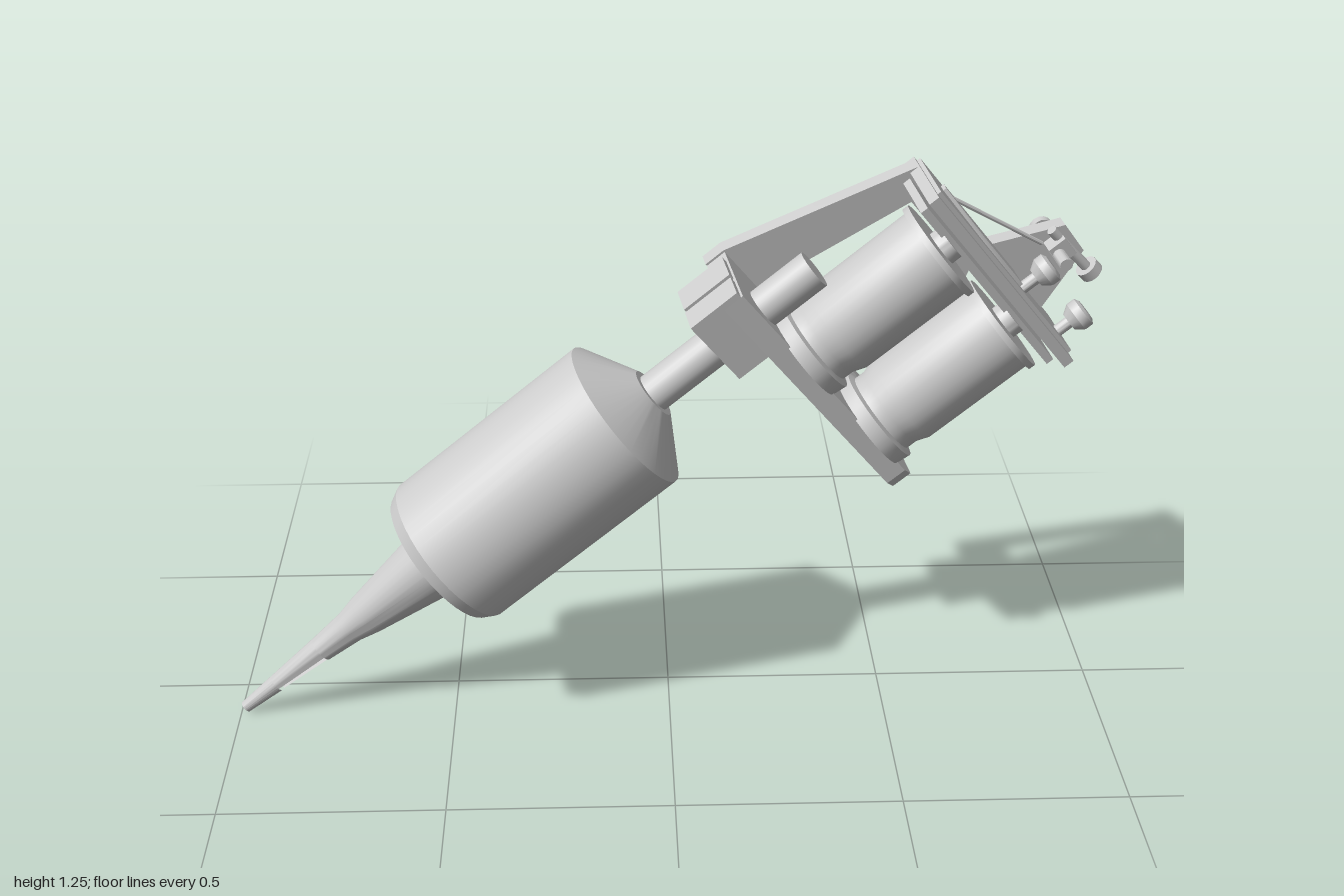
import * as THREE from 'three';
import { toCreasedNormals } from 'three/addons/utils/BufferGeometryUtils.js';

// Local frame: x = u along the tube axis, y = -t (t runs down the frame), z = s towards the front.
const grey = new THREE.MeshStandardMaterial({ color: 0xcccccc });
const greyThin = new THREE.MeshStandardMaterial({ color: 0xcccccc, side: THREE.DoubleSide });

export function createModel() {
  const model = new THREE.Group();
  const machine = new THREE.Group();
  machine.name = 'machine';
  model.add(machine);

  function add(name, geometry, material = grey) {
    const mesh = new THREE.Mesh(toCreasedNormals(geometry, 0.45), material);
    mesh.name = name;
    machine.add(mesh);
    return mesh;
  }

  // Turned part along u; profile is [radius, u] pairs
  function turned(name, profile, t = 0, s = 0, segments = 32) {
    const g = new THREE.LatheGeometry(profile.map(p => new THREE.Vector2(p[0], p[1])), segments);
    return add(name, g.rotateZ(-Math.PI / 2).translate(0, -t, s));
  }

  // Flat slab across the axis; outline is [s, t] pairs, thickness from u0 to u1
  function slab(name, outline, u0, u1) {
    const shape = new THREE.Shape(outline.map(([s, t]) => new THREE.Vector2(-s, -t)));
    const g = new THREE.ExtrudeGeometry(shape, { depth: u1 - u0, bevelEnabled: false });
    return add(name, g.rotateY(Math.PI / 2).translate(u0, 0, 0));
  }

  // Round rod between two [u, t, s] points
  function rod(name, a, b, radius, segments = 14) {
    const p = new THREE.Vector3(a[0], -a[1], a[2]);
    const dir = new THREE.Vector3(b[0], -b[1], b[2]).sub(p);
    const g = new THREE.CylinderGeometry(radius, radius, dir.length(), segments);
    g.translate(0, dir.length() / 2, 0);
    g.applyQuaternion(new THREE.Quaternion().setFromUnitVectors(new THREE.Vector3(0, 1, 0), dir.normalize()));
    return add(name, g.translate(p.x, p.y, p.z));
  }

  // Needle tip with a cut-out slot
  turned('tipEnd', [[0.009, 0.1], [0.008, 0], [0.014, 0], [0.021, 0.1]], 0, 0, 24);
  const slotted = new THREE.LatheGeometry(
    [new THREE.Vector2(0.021, 0.1), new THREE.Vector2(0.031, 0.24)], 24, Math.PI / 4 + 0.6, Math.PI * 2 - 1.2);
  add('tipSlot', slotted.rotateZ(-Math.PI / 2), greyThin);
  turned('tipCone', [[0, 0.24], [0.031, 0.24], [0.039, 0.33], [0.05, 0.38], [0.088, 0.62]]);

  // Grip and tube
  turned('grip', [[0, 0.61], [0.17, 0.61], [0.185, 0.64], [0.185, 1.153], [0.06, 1.232], [0, 1.232]], 0, 0, 40);
  turned('tube', [[0, 1.2], [0.045, 1.2], [0.045, 1.68], [0, 1.68]], 0, 0, 24);

  // Split clamp holding the tube, and base plate under the coils
  slab('tubeClamp', [[-0.085, -0.115], [-0.006, -0.115], [-0.006, -0.04], [0.006, -0.04], [0.006, -0.115],
    [0.075, -0.115], [0.075, 0.06], [-0.085, 0.06]], 1.41, 1.535);
  slab('basePlate', [[-0.157, -0.1], [0.075, -0.1], [0.08, 0.52], [0.055, 0.555], [-0.05, 0.555],
    [-0.06, 0.54], [-0.157, 0.55]], 1.49, 1.54);

  // Side frame with window and a fin carrying the contact screw
  const P = (u, t) => new THREE.Vector2(u, -t);
  const frame = new THREE.Shape([P(1.49, -0.105), P(1.54, -0.105), P(1.98, 0.03), P(1.985, 0.3), P(2.15, 0.385),
    P(2.147, 0.47), P(1.96, 0.54), P(1.93, 0.5), P(1.93, 0.32), P(1.54, 0.55), P(1.49, 0.55)]);
  frame.holes.push(new THREE.Path([P(1.57, 0.03), P(1.57, 0.42), P(1.92, 0.22), P(1.92, 0.09)]));
  add('sideFrame', new THREE.ExtrudeGeometry(frame, { depth: 0.037, bevelEnabled: false }).translate(0, 0, -0.16));

  // Two coils with flanges
  for (const t of [0.155, 0.41]) {
    turned('coil', [[0, 1.535], [0.112, 1.535], [0.115, 1.57], [0.098, 1.575], [0.098, 1.6], [0.108, 1.63],
      [0.108, 1.9], [0.118, 1.9], [0.118, 1.915], [0.04, 1.915], [0.04, 1.94], [0, 1.94]], t);
  }

  // Armature bar in two layers, leaf spring and contact wire
  slab('armatureUnderlay', [[-0.15, 0.04], [0.02, 0.04], [0.02, 0.56], [-0.15, 0.56]], 1.932, 1.95);
  slab('armatureBar', [[-0.17, 0.03], [0.03, 0.03], [0.03, 0.59], [-0.17, 0.59]], 1.958, 1.983);
  slab('armatureRidge', [[-0.165, 0.04], [0, 0.04], [0, 0.585], [-0.165, 0.585]], 1.983, 1.992);
  slab('leafSpring', [[-0.1, 0.09], [-0.08, 0.09], [-0.035, 0.22], [-0.03, 0.38], [-0.1, 0.38]], 1.992, 2.0);
  rod('springWire', [1.985, 0.1, -0.095], [2.085, 0.37, -0.1], 0.005, 8);

  // Bar screws: waisted heads pointing along the axis
  for (const [t, s, u] of [[0.4, -0.048, 2.05], [0.554, -0.05, 2.045]]) {
    turned('barScrew', [[0, 1.98], [0.014, 1.98], [0.014, u - 0.02], [0.022, u - 0.02], [0.036, u],
      [0.036, u + 0.02], [0.025, u + 0.026], [0, u + 0.026]], t, s, 18);
  }

  // Cross pin with thumb screw at the back of the fin
  rod('crossPin', [2.1, 0.41, -0.03], [2.1, 0.41, -0.2], 0.015);
  rod('thumbCollar', [2.1, 0.41, -0.16], [2.1, 0.41, -0.175], 0.022);
  rod('thumbHead', [2.1, 0.41, -0.197], [2.1, 0.41, -0.215], 0.028);

  // Contact post and screw
  add('contactPost', new THREE.BoxGeometry(0.045, 0.05, 0.04).translate(2.11, -0.41, -0.1));
  rod('contactScrew', [2.12, 0.36, -0.104], [2.13, 0.5, -0.104], 0.012);
  rod('contactHead', [2.13, 0.495, -0.104], [2.132, 0.52, -0.104], 0.027);

  // Tilt the whole machine into its resting pose
  const axis = new THREE.Vector3(0.776, 0.63, -0.042).normalize();
  const up = new THREE.Vector3(-0.61, 0.77, 0.17);
  const front = new THREE.Vector3().crossVectors(axis, up).normalize();
  up.crossVectors(front, axis);
  machine.quaternion.setFromRotationMatrix(new THREE.Matrix4().makeBasis(axis, up, front));
  machine.position.set(-0.99, 0.013, 0.107);
  return model;
}
